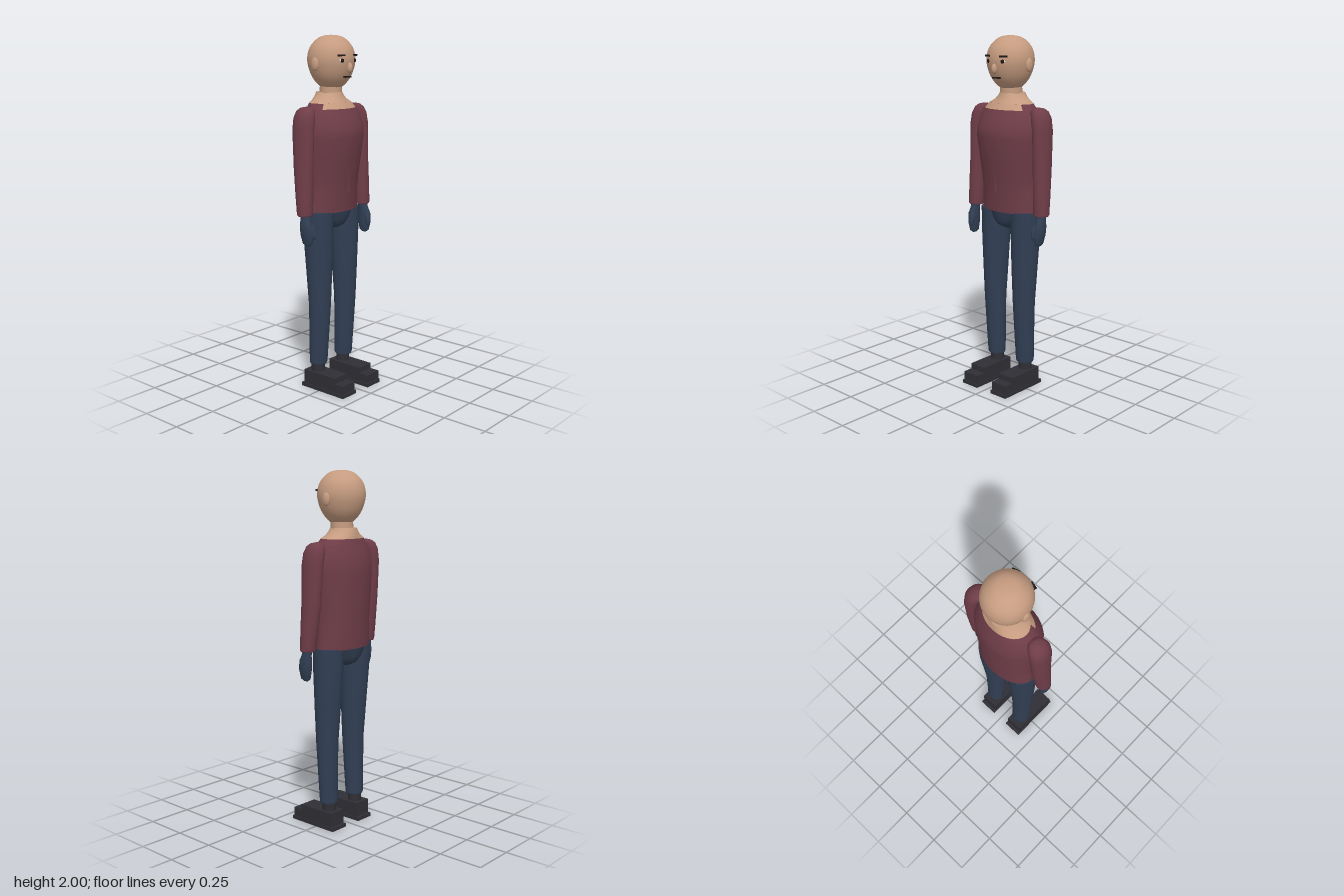
import * as THREE from 'three';

const mat = (name, color, opts = {}) => Object.assign(new THREE.MeshStandardMaterial({ color, ...opts }), { name });

// Skin of elliptical rings [y, cx, cz, rx, rz] listed bottom to top, over an optional arc
function loft(rings, from = 0, to = Math.PI * 2, capped = true, n = 28) {
  const pos = [], idx = [];
  const full = to - from > 6.28;
  const cols = full ? n : n + 1;
  const addRing = ([y, cx, cz, rx, rz]) => {
    const start = pos.length / 3;
    for (let j = 0; j < cols; j++) {
      const a = from + (to - from) * j / n;
      pos.push(cx + rx * Math.cos(a), y, cz + rz * Math.sin(a));
    }
    return start;
  };
  const starts = rings.map(addRing);
  for (let i = 0; i < rings.length - 1; i++) {
    for (let j = 0; j < n; j++) {
      const k = (j + 1) % cols;
      const a = starts[i] + j, b = starts[i] + k, c = starts[i + 1] + j, d = starts[i + 1] + k;
      idx.push(a, c, b, b, c, d);
    }
  }
  if (capped) {
    [rings[0], rings[rings.length - 1]].forEach((r, top) => {
      const s = addRing(r), m = pos.length / 3;
      pos.push(r[1], r[0], r[2]);
      for (let j = 0; j < n; j++) {
        const k = (j + 1) % cols;
        if (top) idx.push(m, s + k, s + j);
        else idx.push(m, s + j, s + k);
      }
    });
  }
  const g = new THREE.BufferGeometry();
  g.setAttribute('position', new THREE.Float32BufferAttribute(pos, 3));
  g.setIndex(idx);
  g.computeVertexNormals();
  return g;
}

export function createModel() {
  const root = new THREE.Group();
  root.name = 'standingFigure';
  const skin = mat('skin', 0xc69c80, { side: THREE.DoubleSide });
  const sweater = mat('sweater', 0x6f3d48, { side: THREE.DoubleSide });
  const denim = mat('trousers', 0x313f54);
  const shoe = mat('shoe', 0x302f35);
  const dark = mat('brow', 0x1d1817);
  const white = mat('eyeWhite', 0xd8d4cc);

  const add = (name, geo, m, x = 0, y = 0, z = 0) => {
    const mesh = new THREE.Mesh(geo, m);
    mesh.name = name;
    mesh.position.set(x, y, z);
    root.add(mesh);
    return mesh;
  };
  const ball = (name, m, x, y, z, rx, ry, rz) => {
    const mesh = add(name, new THREE.SphereGeometry(1, 20, 14), m, x, y, z);
    mesh.scale.set(rx, ry, rz);
    return mesh;
  };
  const box = (name, m, x0, x1, y0, y1, z, w) =>
    add(name, new THREE.BoxGeometry(x1 - x0, y1 - y0, w), m, (x0 + x1) / 2, (y0 + y1) / 2, z);

  // Head: egg profile turned around the vertical axis
  const profile = new THREE.SplineCurve([
    [0.001, 1.708], [0.05, 1.716], [0.085, 1.745], [0.113, 1.79], [0.13, 1.85],
    [0.128, 1.9], [0.11, 1.945], [0.072, 1.983], [0.035, 1.997], [0.001, 2],
  ].map(p => new THREE.Vector2(...p))).getPoints(28);
  add('head', new THREE.LatheGeometry(profile, 32), skin, -0.045).scale.x = 1.02;
  add('neck', loft([[1.64, -0.05, 0, 0.062, 0.064], [1.75, -0.048, 0, 0.06, 0.062]]), skin);
  ball('nose', skin, 0.085, 1.826, 0, 0.018, 0.028, 0.015);
  box('mouth', dark, 0.055, 0.078, 1.773, 1.781, 0, 0.05);

  // Torso
  const neckline = [1.605, -0.047, 0, 0.11, 0.165];
  const collarRing = [1.635, -0.052, 0, 0.097, 0.138];
  add('sweaterBody', loft([
    [1.035, -0.052, 0, 0.113, 0.188], [1.15, -0.052, 0, 0.121, 0.183],
    [1.22, -0.048, 0, 0.127, 0.184], [1.33, -0.043, 0, 0.139, 0.194],
    [1.45, -0.036, 0, 0.149, 0.204], [1.5, -0.037, 0, 0.147, 0.204],
    [1.56, -0.042, 0, 0.128, 0.19], neckline,
  ]), sweater);
  // The neckline dips at the front, showing skin there
  const dip = 1.0;
  add('sweaterShoulders', loft([neckline, collarRing], dip, Math.PI * 2 - dip, false), sweater);
  add('chestSkin', loft([neckline, collarRing], -dip, dip, false), skin);
  add('neckBase', loft([
    collarRing, [1.655, -0.057, 0, 0.09, 0.098], [1.675, -0.06, 0, 0.084, 0.074], [1.692, -0.06, 0, 0.08, 0.062],
  ]), skin);
  box('frontSeam', sweater, 0.06, 0.084, 1.145, 1.26, 0, 0.008);
  add('pelvis', loft([
    [0.935, -0.055, 0, 0.05, 0.055], [0.95, -0.055, 0, 0.08, 0.08],
    [0.985, -0.055, 0, 0.1, 0.108], [1.04, -0.055, 0, 0.108, 0.15],
  ]), denim);

  for (const s of [1, -1]) {
    const side = s > 0 ? 'front' : 'back';
    const mirrored = rings => rings.map(([y, x, z, rx, rz]) => [y, x, z * s, rx, rz]);
    const label = part => (s > 0 ? 'left' : 'right') + part;

    // Face details
    ball(label('Ear'), skin, -0.05, 1.845, s * 0.129, 0.025, 0.037, 0.014);
    ball(label('EyeWhite'), white, 0.07, 1.865, s * 0.05, 0.01, 0.01, 0.017);
    ball(label('Pupil'), dark, 0.076, 1.865, s * 0.05, 0.009, 0.011, 0.012);
    const brow = box(label('Brow'), dark, 0.064, 0.082, 1.888, 1.898, s * 0.055, 0.042);
    brow.rotation.y = s * -0.25;

    // Arm, hand and thumb
    add(label('Sleeve'), loft(mirrored([
      [1.035, -0.023, 0.246, 0.039, 0.04], [1.043, -0.023, 0.246, 0.044, 0.044],
      [1.15, -0.03, 0.242, 0.051, 0.046], [1.3, -0.04, 0.236, 0.06, 0.045],
      [1.5, -0.045, 0.231, 0.068, 0.046], [1.565, -0.047, 0.22, 0.064, 0.05],
      [1.6, -0.048, 0.208, 0.053, 0.046], [1.616, -0.048, 0.2, 0.035, 0.032], [1.621, -0.048, 0.197, 0.012, 0.012],
    ])), sweater);
    add(label('Hand'), loft(mirrored([
      [0.868, -0.005, 0.245, 0.014, 0.008], [0.88, -0.005, 0.246, 0.032, 0.016],
      [0.93, -0.006, 0.25, 0.042, 0.025], [0.98, -0.01, 0.252, 0.04, 0.027],
      [1.012, -0.016, 0.25, 0.03, 0.024], [1.04, -0.02, 0.247, 0.028, 0.026],
    ])), denim);
    const thumb = ball(label('Thumb'), denim, 0.027, 0.947, s * 0.236, 0.014, 0.042, 0.014);
    thumb.rotation.z = 0.2;

    // Leg
    add(label('Leg'), loft(mirrored([
      [0.145, -0.05, 0.11, 0.046, 0.048], [0.155, -0.05, 0.11, 0.05, 0.053],
      [0.3, -0.044, 0.11, 0.054, 0.058], [0.5, -0.038, 0.11, 0.062, 0.064],
      [0.7, -0.042, 0.11, 0.074, 0.073], [0.9, -0.047, 0.111, 0.085, 0.081],
      [1.04, -0.048, 0.112, 0.088, 0.081],
    ])), denim);

    // Shoe
    add(label('Ankle'), loft(mirrored([[0.09, -0.053, 0.11, 0.038, 0.038], [0.15, -0.053, 0.11, 0.038, 0.038]])), shoe);
    box(label('Sole'), shoe, -0.13, 0.183, 0, 0.02, s * 0.11, 0.114);
    box(label('ShoeUpper'), shoe, -0.113, 0.117, 0.02, 0.102, s * 0.11, 0.105);
    box(label('Toe'), shoe, 0.117, 0.176, 0.02, 0.07, s * 0.11, 0.105);
  }
  return root;
}
